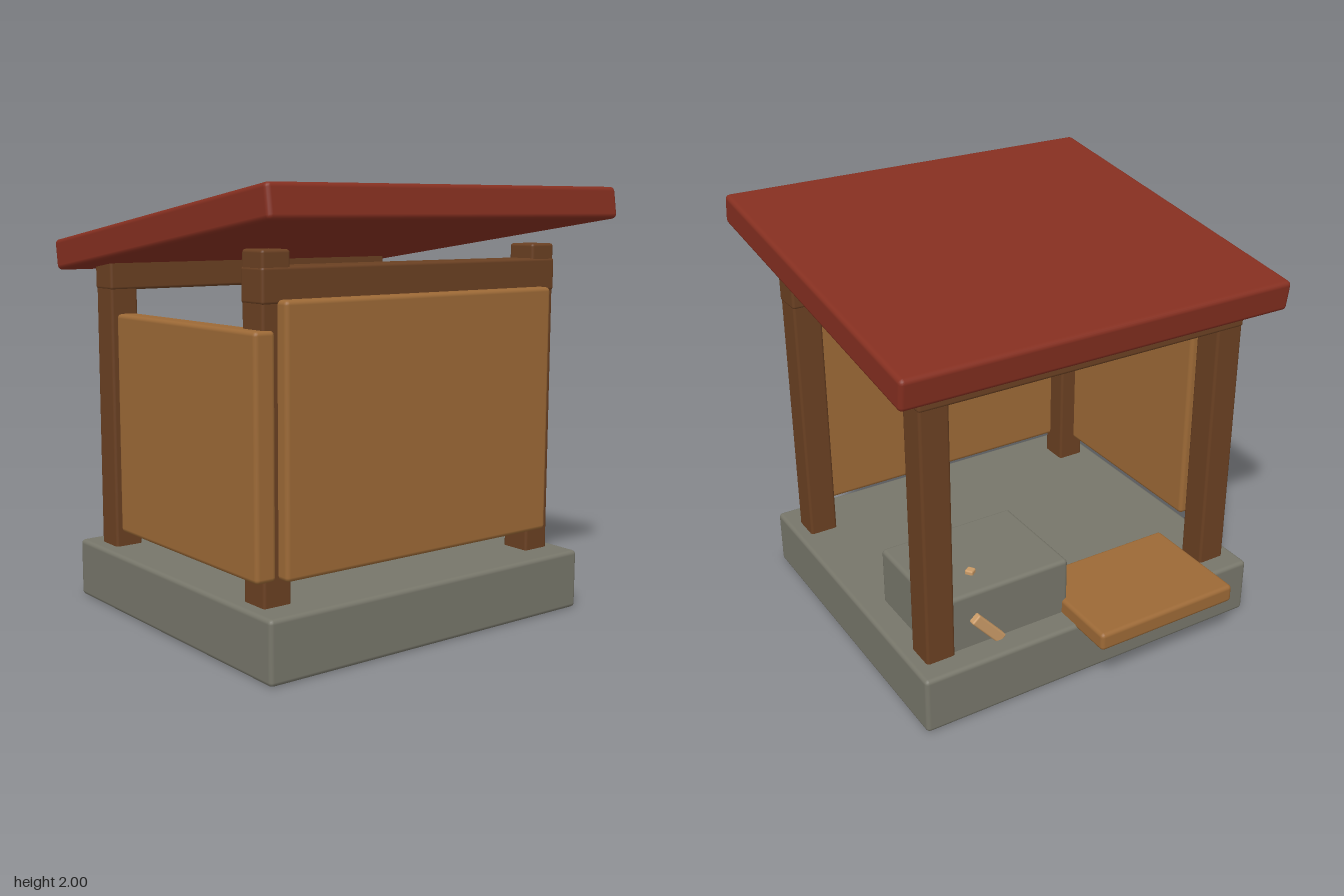
import * as THREE from 'three';
import { RoundedBoxGeometry } from 'three/addons/geometries/RoundedBoxGeometry.js';

const material = (color) => new THREE.MeshStandardMaterial({ color });

export function createModel() {
  const group = new THREE.Group();
  const stone = material(0x77766a);
  const timber = material(0x6a4022);
  const plank = material(0x9c6936);
  const roofRed = material(0x852f20);
  const paleWood = material(0xc99a66);

  // Softly bevelled box given by its extents along each axis
  function block(name, mat, [x0, x1], [y0, y1], [z0, z1], radius = 0.02) {
    const geometry = new RoundedBoxGeometry(x1 - x0, y1 - y0, z1 - z0, 2, radius);
    const mesh = new THREE.Mesh(geometry, mat);
    mesh.name = name;
    mesh.position.set((x0 + x1) / 2, (y0 + y1) / 2, (z0 + z1) / 2);
    group.add(mesh);
    return mesh;
  }

  // Stone floor slab
  block('base', stone, [-0.9, 0.895], [0, 0.28], [-0.775, 0.86]);

  // Corner posts, taller at the front
  for (const side of [-1, 1]) {
    const xs = side < 0 ? [-0.833, -0.692] : [0.69, 0.831];
    block('frontPost', timber, xs, [0.26, 1.74], [0.572, 0.72], 0.014);
    block('backPost', timber, xs, [0.26, 1.67], [-0.67, -0.524], 0.014);
  }

  // Cross beams joining each pair of posts
  block('frontBeam', timber, [-0.836, 0.834], [1.52, 1.672], [0.568, 0.724], 0.014);
  block('backBeam', timber, [-0.836, 0.834], [1.52, 1.67], [-0.674, -0.52], 0.014);

  // Wall panels on the front and on one side
  block('frontPanel', plank, [-0.76, 0.756], [0.39, 1.54], [0.68, 0.78]);
  block('sidePanel', plank, [-0.88, -0.778], [0.39, 1.42], [-0.393, 0.735]);

  // Step at the open back
  block('step', plank, [-0.637, 0.112], [0.26, 0.35], [-0.975, -0.41]);

  // Stone block with a splinter of pale wood showing through it
  block('stoneBlock', stone, [0.08, 0.77], [0.26, 0.56], [-0.65, -0.12]);
  const slat = block('slat', paleWood, [0.492, 0.544], [0.25, 0.46], [-0.68, -0.64], 0.008);
  slat.rotation.z = -0.71;
  const peg = block('peg', paleWood, [0.495, 0.535], [0.53, 0.58], [-0.525, -0.485], 0.008);
  peg.rotation.y = 0.6;

  // Single-pitch roof sloping down towards the back
  const roof = block('roof', roofRed, [-0.98, 0.974], [1.732, 1.878], [-0.809, 0.979], 0.022);
  roof.rotation.x = -THREE.MathUtils.degToRad(8);

  return group;
}
